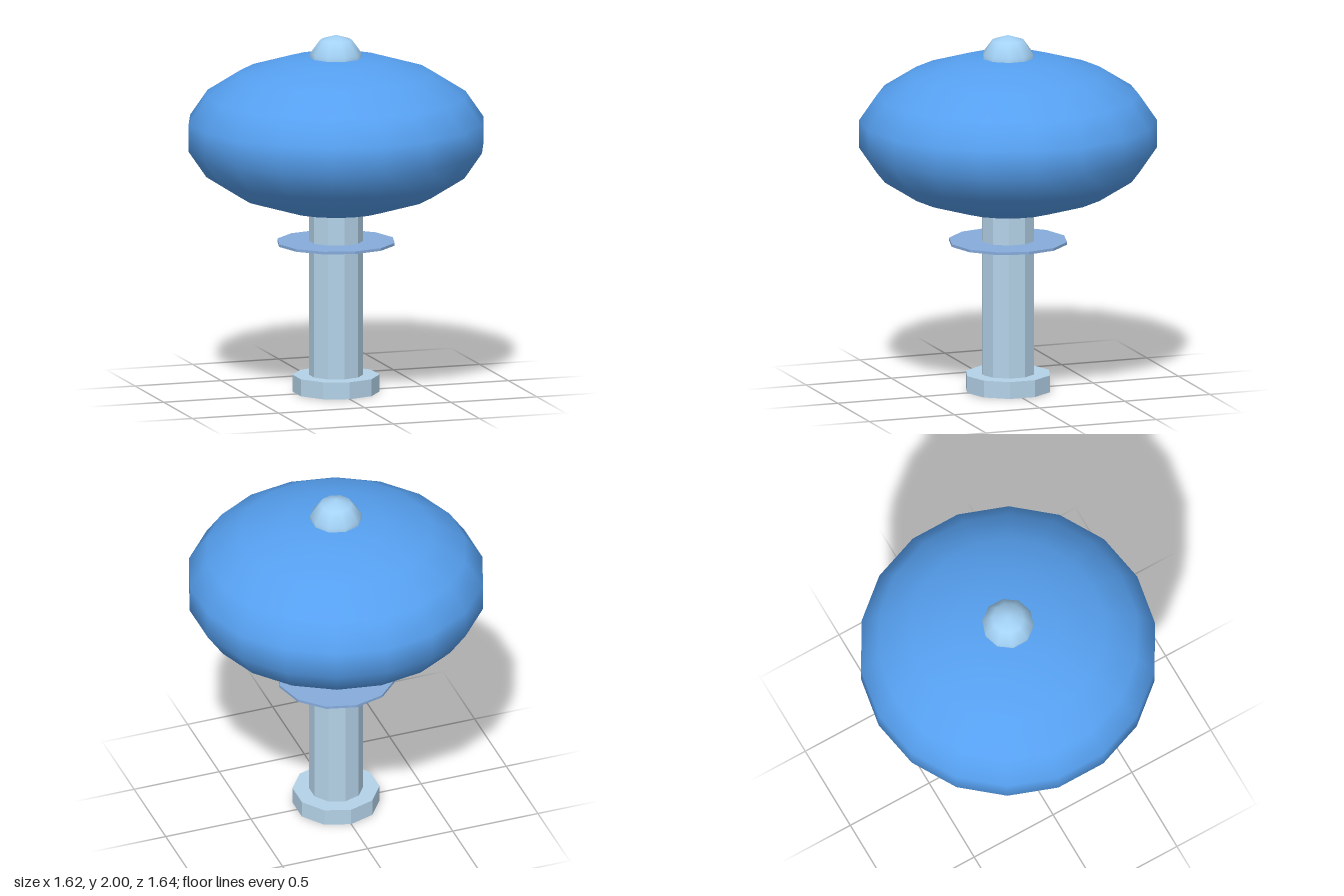
import * as THREE from 'three';

function material(color, flatShading = false) {
  return new THREE.MeshStandardMaterial({ color, flatShading });
}

function addMesh(group, name, geometry, mat, y) {
  const mesh = new THREE.Mesh(geometry, mat);
  mesh.name = name;
  mesh.position.y = y;
  group.add(mesh);
  return mesh;
}

// Upright prism between two heights, one corner facing +z
function addPrism(group, name, radius, bottom, top, sides, mat) {
  const geometry = new THREE.CylinderGeometry(radius, radius, top - bottom, sides);
  return addMesh(group, name, geometry, mat, (bottom + top) / 2);
}

// Low-poly smooth ellipsoid, one meridian facing +z
function addEllipsoid(group, name, radius, halfHeight, y, sides, rings, mat) {
  const geometry = new THREE.SphereGeometry(1, sides, rings);
  geometry.rotateY(Math.PI / 2);
  geometry.scale(radius, halfHeight, radius);
  return addMesh(group, name, geometry, mat, y);
}

export function createModel() {
  const group = new THREE.Group();
  const pale = material(0xb4d2e8, true);

  // Foot and stem
  addPrism(group, 'base', 0.24, 0, 0.095, 10, pale);
  addPrism(group, 'stem', 0.15, 0.095, 1.05, 10, pale);

  // Thin collar around the stem
  addPrism(group, 'collar', 0.33, 0.83, 0.845, 12, material(0x86acdc, true));

  // Wide flattened head with a small knob on top
  addEllipsoid(group, 'head', 0.833, 0.443, 1.443, 18, 9, material(0x56a0f0));
  addEllipsoid(group, 'knob', 0.15, 0.15, 1.85, 10, 5, material(0xa4d2f6));

  return group;
}
